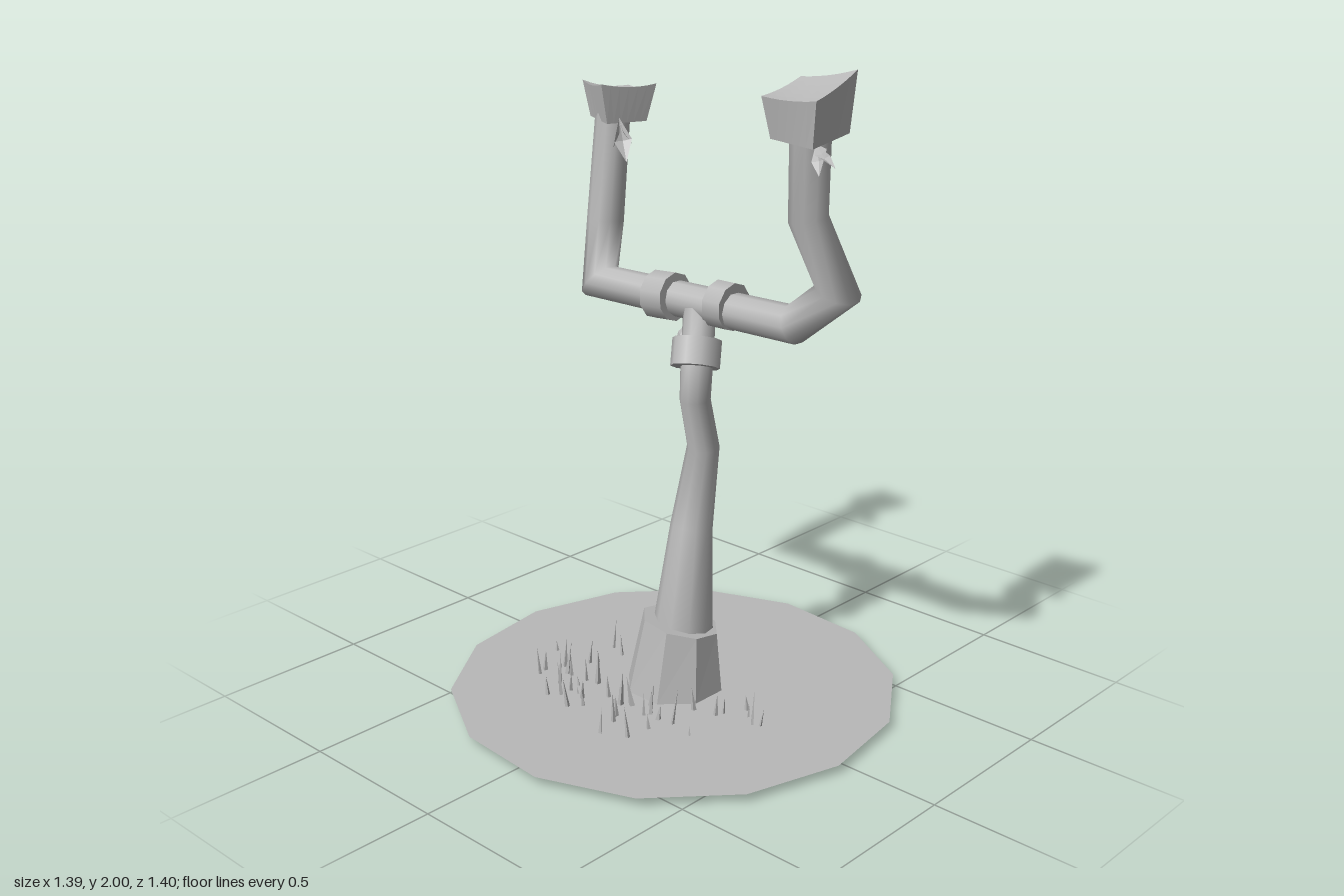
import * as THREE from 'three';

const V = (x, y, z) => new THREE.Vector3(x, y, z);
const UP = V(0, 1, 0);

// Mitred pipe through points [x, y, z, radius]
function pipe(points, sides = 10) {
  const c = points.map(p => V(p[0], p[1], p[2]));
  const dirs = c.slice(1).map((p, i) => p.clone().sub(c[i]).normalize());
  const pos = [], index = [];
  const q = new THREE.Quaternion().setFromUnitVectors(UP, dirs[0]);
  let offs = Array.from({ length: sides }, (_, j) => {
    const a = j / sides * Math.PI * 2;
    return V(Math.sin(a), 0, Math.cos(a)).applyQuaternion(q);
  });
  c.forEach((p, i) => {
    const d = dirs[Math.max(i - 1, 0)], next = dirs[Math.min(i, dirs.length - 1)];
    const n = d.clone().add(next).normalize(), r = points[i][3];
    for (const o of offs) {
      const t = -r * o.dot(n) / d.dot(n);
      pos.push(...p.clone().addScaledVector(o, r).addScaledVector(d, t).toArray());
    }
    const turn = new THREE.Quaternion().setFromUnitVectors(d, next);
    offs = offs.map(o => o.clone().applyQuaternion(turn));
    if (i) for (let j = 0; j < sides; j++) {
      const a = (i - 1) * sides + j, b = (i - 1) * sides + (j + 1) % sides;
      index.push(a, b, b + sides, a, b + sides, a + sides);
    }
  });
  const g = new THREE.BufferGeometry();
  g.setAttribute('position', new THREE.Float32BufferAttribute(pos, 3));
  g.setIndex(index);
  g.computeVertexNormals();
  return g;
}

// Box warped between four bottom and four top corners, with a sagging top.
// Corner order: back left, back right, front right, front left (seen from above)
function warpedBlock(bottom, top, dip) {
  const g = new THREE.BoxGeometry(1, 1, 1, 6, 1, 6);
  const p = g.attributes.position;
  for (let i = 0; i < p.count; i++) {
    const u = p.getX(i) + 0.5, v = p.getZ(i) + 0.5, up = p.getY(i) > 0;
    const k = (up ? top : bottom).map(a => V(...a));
    const back = k[0].lerp(k[1], u), front = k[3].lerp(k[2], u);
    const s = back.lerp(front, v);
    if (up) s.y -= dip * 2 * (u * (1 - u) + v * (1 - v));
    p.setXYZ(i, s.x, s.y, s.z);
  }
  g.computeVertexNormals();
  return g;
}

// Folded pointed leaf with its stem at the origin, growing along +y
function leafGeometry() {
  const g = new THREE.BufferGeometry();
  g.setAttribute('position', new THREE.Float32BufferAttribute([
    0, 0, 0, 0.2, 0.5, 0, 0, 0.5, 0.08, -0.2, 0.5, 0, 0, 1, -0.05], 3));
  g.setIndex([0, 1, 2, 0, 2, 3, 1, 4, 2, 2, 4, 3]);
  g.computeVertexNormals();
  return g;
}

export function createModel() {
  const model = new THREE.Group();
  const smooth = new THREE.MeshStandardMaterial({ color: 0xb8b8b8, side: THREE.DoubleSide });
  smooth.name = 'plain grey';
  const flat = smooth.clone();
  flat.flatShading = true;

  const add = (name, geometry, material = smooth, parent = model) => {
    const m = new THREE.Mesh(geometry, material);
    m.name = name;
    parent.add(m);
    return m;
  };

  // Flat ground patch
  const ground = add('ground', new THREE.CircleGeometry(0.702, 14));
  ground.rotation.set(-Math.PI / 2, 0, Math.PI / 2 - 0.073);
  ground.position.y = 0.03;

  // Tapered base collar with a slanted rim
  const collar = new THREE.CylinderGeometry(0.121, 0.156, 0.215, 8, 1, false, Math.PI / 8);
  const cp = collar.attributes.position;
  for (let i = 0; i < cp.count; i++) {
    const x = cp.getX(i), z = cp.getZ(i);
    if (cp.getY(i) > 0) cp.setXYZ(i, x + 0.01, 0.245 - 0.16 * x - 0.15 * z, z + 0.018);
    else cp.setXYZ(i, x, 0.03, z + 0.004);
  }
  add('baseCollar', collar, flat);

  // Crooked trunk and the cross pipe with its two raised arms
  add('trunk', pipe([
    [0.018, 0.1, 0.02, 0.1], [0.022, 0.25, 0.02, 0.092], [0.06, 0.55, 0.018, 0.066],
    [0.115, 0.8, 0.016, 0.05], [0.022, 0.985, 0.066, 0.047],
    [0.07, 1.11, 0.03, 0.05], [0.115, 1.25, 0, 0.05]]));
  add('crossPipeAndArms', pipe([
    [0.03, 1.86, 0.475, 0.058], [0.06, 1.585, 0.45, 0.056], [0.108, 1.38, 0.525, 0.056],
    [0.125, 1.25, 0.355, 0.056], [0.108, 1.245, -0.42, 0.054],
    [0.155, 1.43, -0.44, 0.058], [0.185, 1.78, -0.43, 0.054]]));

  // Joint rings: centre, axis, radius, length
  const rings = [
    [[0.065, 1.11, 0.03], [0.4, 1, -0.25], 0.075, 0.085],
    [[0.12, 1.26, 0.098], [0.02, 0, 1], 0.073, 0.066],
    [[0.108, 1.25, -0.135], [0.03, 0.06, 1], 0.075, 0.082]];
  for (const [c, axis, r, h] of rings) {
    const ring = add('jointRing', new THREE.CylinderGeometry(r, r, h, 10));
    ring.position.set(...c);
    ring.quaternion.setFromUnitVectors(UP, V(...axis).normalize());
  }

  // Blocks capping the arms
  add('frontBlock', warpedBlock(
    [[-0.055, 1.815, 0.405], [0.085, 1.82, 0.4], [0.09, 1.83, 0.56], [-0.06, 1.805, 0.555]],
    [[-0.075, 1.93, 0.388], [0.09, 1.965, 0.387], [0.098, 2.0, 0.575], [-0.075, 1.935, 0.575]],
    0.012), flat);
  add('backBlock', warpedBlock(
    [[0.155, 1.75, -0.5], [0.278, 1.75, -0.47], [0.25, 1.74, -0.35], [0.118, 1.742, -0.39]],
    [[0.15, 1.86, -0.528], [0.307, 1.832, -0.485], [0.274, 1.855, -0.33], [0.095, 1.865, -0.39]],
    0.02), flat);

  // Leaf sprigs: stem point, then leaf tips relative to it
  const leaf = leafGeometry();
  const sprigs = [
    [[-0.01, 1.81, 0.525], [[-0.045, -0.03, 0.07], [-0.03, -0.08, 0.04], [-0.005, -0.06, 0.07]]],
    [[0.15, 1.76, -0.37], [[-0.02, -0.13, 0.05], [0.01, -0.08, 0.04], [-0.03, -0.09, 0.01]]],
    [[0.12, 1.19, -0.035], [[0.0, -0.13, -0.055], [0.03, -0.09, -0.065], [-0.04, -0.1, -0.05]]]];
  for (const [stem, tips] of sprigs) {
    const sprig = new THREE.Group();
    sprig.name = 'leafSprig';
    sprig.position.set(...stem);
    model.add(sprig);
    for (const tip of tips) {
      const d = V(...tip);
      const m = add('leaf', leaf, flat, sprig);
      m.scale.setScalar(d.length());
      m.quaternion.setFromUnitVectors(UP, d.normalize());
    }
  }

  // Grass blades, placed as x, z in hundredths
  const spots = [
    -10, -43, -22, -36, -25, -35, -16, -33, -19, -29, -19, -27, -9, -29, -7, -27, 4, -31, 2, -25,
    -33, -23, -25, -26, -30, -20, -26, -20, -22, -20, -18, -21, -17, -17, -26, -16, -34, -13,
    -30, -10, -27, -14, -21, -8, -20, -4, -25, -1, -22, -2, -28, 2, -31, 4, -39, 6, -20, 1,
    -20, 9, -22, 8, -35, 14, -27, 15, -21, 13, -20, 18, -22, 27, -9, 17, -7, 24, -5, 25,
    2, 29, -1, 32, -4, 36, -3, 38, 21, -32, 25, -23, 24, -17, 26, -15, -16, 5];
  let seed = 7;
  const rand = () => (seed = (seed * 16807) % 2147483647) / 2147483647;
  const blade = new THREE.ConeGeometry(1, 1, 4).translate(0, 0.5, 0);
  const grass = new THREE.Group();
  grass.name = 'grass';
  model.add(grass);
  for (let i = 0; i < spots.length; i += 2) {
    const h = 0.05 + 0.075 * rand(), r = 0.006 + 0.005 * rand();
    const m = add('grassBlade', blade, flat, grass);
    m.position.set(spots[i] / 100, 0.005 + 0.025 * rand(), spots[i + 1] / 100);
    m.scale.set(r, h, r);
    m.rotation.set((rand() - 0.5) * 0.3, rand() * 3, (rand() - 0.5) * 0.3);
  }
  return model;
}
